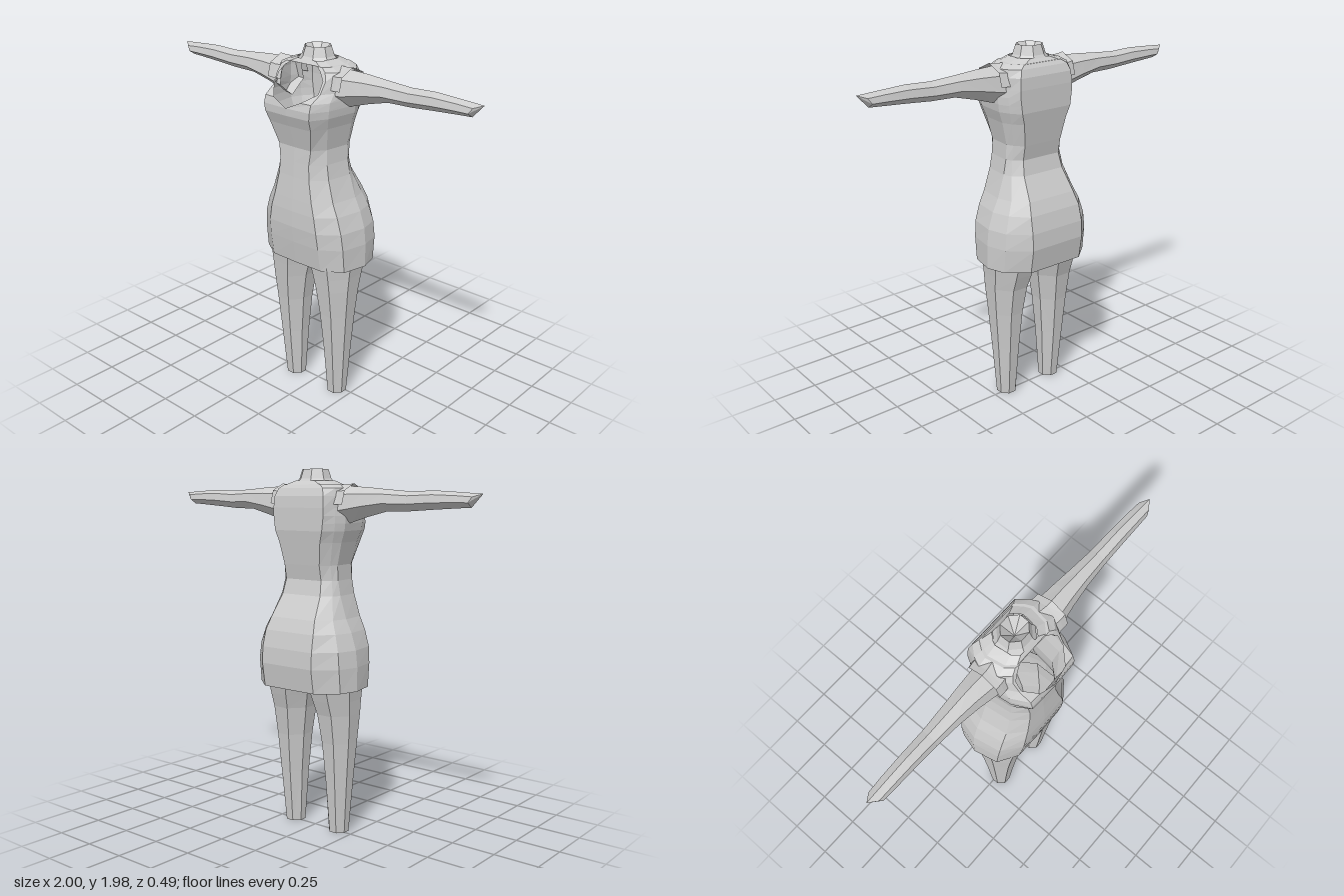
import * as THREE from 'three';

const material = new THREE.MeshStandardMaterial({ color: 0xcccccc, flatShading: true, side: THREE.DoubleSide });

// Skin between successive cross-sections, with optional flat caps
function loft(name, rings, { closed = true, capStart = false, capEnd = false } = {}) {
  const pos = [];
  const n = rings[0].length;
  const tri = (a, b, c) => pos.push(...a, ...b, ...c);
  for (let r = 0; r < rings.length - 1; r++) {
    for (let i = 0; i < (closed ? n : n - 1); i++) {
      const j = (i + 1) % n;
      const [a, b, c, d] = [rings[r][i], rings[r][j], rings[r + 1][j], rings[r + 1][i]];
      tri(a, b, c);
      tri(a, c, d);
    }
  }
  const last = rings[rings.length - 1];
  for (let i = 1; i < n - 1; i++) {
    if (capStart) tri(rings[0][0], rings[0][i + 1], rings[0][i]);
    if (capEnd) tri(last[0], last[i], last[i + 1]);
  }
  const geometry = new THREE.BufferGeometry();
  geometry.setAttribute('position', new THREE.Float32BufferAttribute(pos, 3));
  geometry.computeVertexNormals();
  const mesh = new THREE.Mesh(geometry, material);
  mesh.name = name;
  return mesh;
}

// Half outline from front to back, mirrored; gap opens the ring at the front
function torsoRing([y, w, front, back, frontFlat, backFlat, gap = 0]) {
  const half = [
    [gap, y, front],
    [frontFlat, y, front * 0.98],
    [w * 0.9, y, front * 0.6],
    [w, y, -0.03],
    [w * 0.9, y, back * 0.6],
    [backFlat, y, back],
  ];
  return [...half, ...half.slice().reverse().map(([x, py, z]) => [-x, py, z])];
}

// Six-sided arm section; the lower points may sit further in than the top
function armRing([x, low, high, back, front, xLow = x]) {
  const h = high - low, mid = (front + back) / 2;
  const xm = x + (xLow - x) * 0.7;
  return [
    [x, high, mid],
    [xm, low + h * 0.78, mid + (front - mid) * 0.8],
    [xLow, low + h * 0.36, front],
    [xLow, low, mid],
    [xLow, low + h * 0.36, back],
    [xm, low + h * 0.78, mid + (back - mid) * 0.8],
  ];
}

// Eight-sided leg section
function legRing([y, inner, outer, back, front]) {
  const px = (t) => inner + (outer - inner) * t;
  const pz = (t) => back + (front - back) * t;
  return [[0.3, 1], [0.72, 1], [1, 0.68], [1, 0.32], [0.72, 0], [0.3, 0], [0, 0.32], [0, 0.68]]
    .map(([u, v]) => [px(u), y, pz(v)]);
}

export function createModel() {
  const model = new THREE.Group();
  model.name = 'figure';

  // Dress: y, half width, front z, back z, front flat, back flat, neckline gap
  const dressRows = [
    [0.82, 0.31, 0.18, -0.225, 0.17, 0.17],
    [0.95, 0.31, 0.2, -0.245, 0.17, 0.17],
    [1.04, 0.3, 0.21, -0.24, 0.165, 0.17],
    [1.13, 0.27, 0.21, -0.22, 0.15, 0.165],
    [1.2, 0.235, 0.205, -0.19, 0.13, 0.15],
    [1.32, 0.195, 0.195, -0.12, 0.105, 0.13],
    [1.4, 0.18, 0.19, -0.1, 0.1, 0.12],
    [1.48, 0.175, 0.185, -0.115, 0.11, 0.12],
    [1.6, 0.2, 0.22, -0.135, 0.14, 0.14],
    [1.66, 0.22, 0.245, -0.145, 0.15, 0.16],
    [1.7, 0.225, 0.247, -0.145, 0.155, 0.165],
    [1.74, 0.225, 0.235, -0.145, 0.155, 0.17, 0.09],
    [1.78, 0.22, 0.17, -0.145, 0.16, 0.17, 0.15],
    [1.84, 0.22, 0.135, -0.14, 0.165, 0.165, 0.15],
    [1.88, 0.215, 0.12, -0.125, 0.15, 0.15, 0.12],
    [1.9, 0.17, 0.108, -0.11, 0.12, 0.12, 0.09],
    [1.9, 0.155, 0.105, -0.105, 0.1, 0.11],
    [1.92, 0.1, 0.09, -0.085, 0.06, 0.06],
  ];
  model.add(loft('dress', dressRows.map(torsoRing), { closed: false }));

  // Neck stump with a sunken top
  const neckRing = (y, rx, rz) => Array.from({ length: 8 }, (_, i) => {
    const a = (i + 0.5) * Math.PI / 4;
    return [Math.sin(a) * rx, y, Math.cos(a) * rz];
  });
  model.add(loft('neck', [
    neckRing(1.905, 0.11, 0.105),
    neckRing(1.93, 0.09, 0.085),
    neckRing(1.98, 0.073, 0.068),
    neckRing(1.9, 0.001, 0.001),
  ]));

  // Arm: x, bottom y, top y, back z, front z, x of the lower points
  const armRows = [
    [0.17, 1.69, 1.89, -0.075, 0.105],
    [0.24, 1.705, 1.89, -0.07, 0.095],
    [0.34, 1.735, 1.885, -0.06, 0.08],
    [0.46, 1.765, 1.875, -0.048, 0.068],
    [0.6, 1.768, 1.865, -0.038, 0.058],
    [0.74, 1.778, 1.87, -0.034, 0.056],
    [0.87, 1.786, 1.863, -0.03, 0.054],
    [1.0, 1.79, 1.855, -0.025, 0.052, 0.94],
  ];
  // Short sleeve over the top of the arm
  const sleeveRows = [
    [0.16, 1.74, 1.9, -0.1, 0.115],
    [0.21, 1.74, 1.9, -0.09, 0.12],
    [0.245, 1.74, 1.905, -0.085, 0.12],
  ].map((row) => {
    const [top, fu, fl, , bl, bu] = armRing(row);
    return [bl, bu, top, fu, fl];
  });
  // Leg: y, inner x, outer x, back z, front z
  const legRows = [
    [0, 0.103, 0.21, -0.04, 0.07],
    [0.3, 0.085, 0.232, -0.068, 0.098],
    [0.52, 0.065, 0.25, -0.09, 0.12],
    [0.68, 0.04, 0.265, -0.115, 0.14],
    [0.76, 0.02, 0.272, -0.14, 0.15],
    [0.83, 0.0, 0.28, -0.16, 0.16],
    [0.95, 0.0, 0.28, -0.18, 0.16],
  ];

  for (const [side, sign] of [['left', 1], ['right', -1]]) {
    const limbs = new THREE.Group();
    limbs.name = `${side}Limbs`;
    limbs.scale.x = sign;
    limbs.add(
      loft(`${side}Arm`, armRows.map(armRing), { capEnd: true }),
      loft(`${side}Sleeve`, sleeveRows, { closed: false }),
      loft(`${side}Leg`, legRows.map(legRing), { capStart: true }),
    );
    model.add(limbs);
  }
  return model;
}
